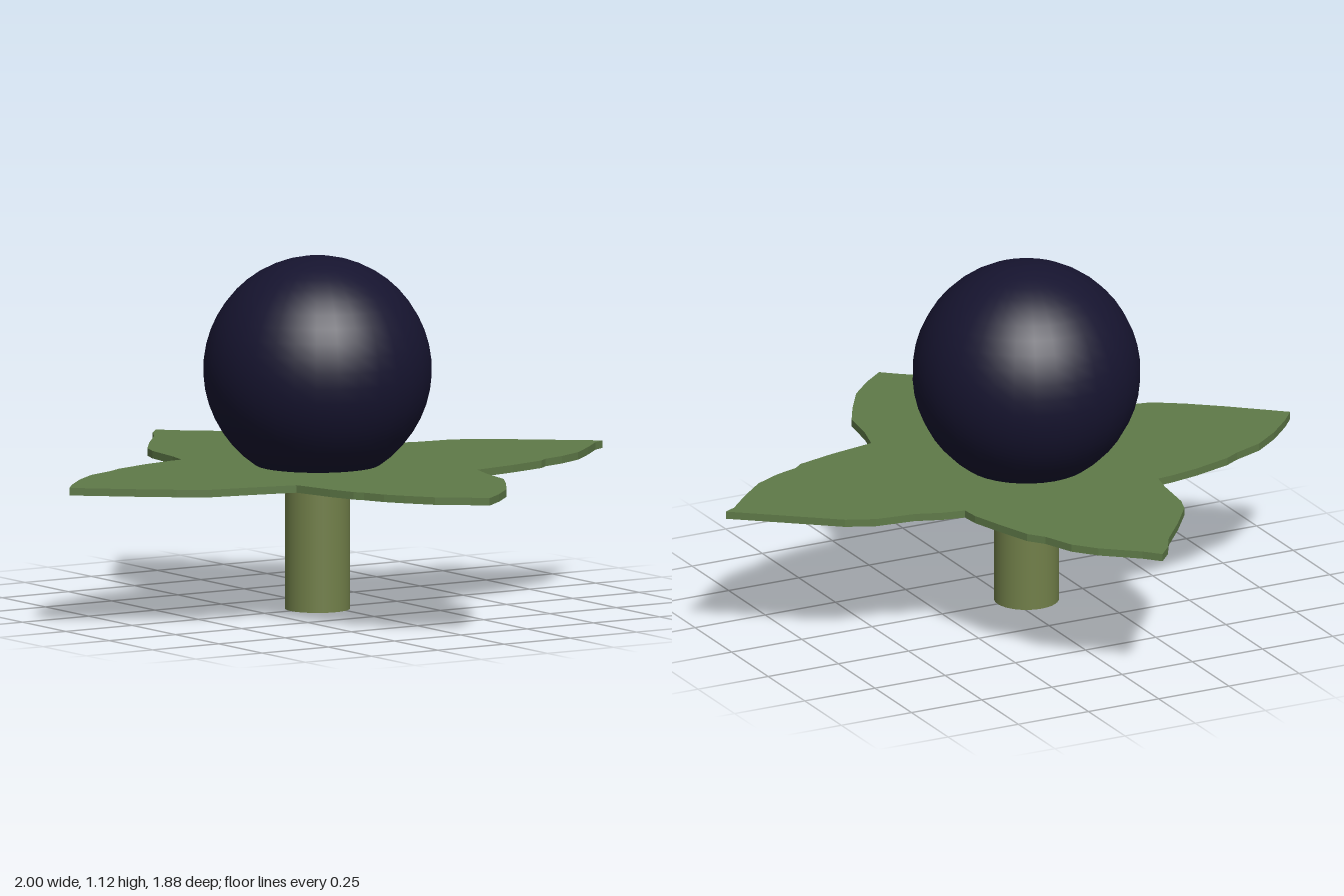
import * as THREE from 'three';

const CX = -0.05; // axis of the fruit and stem
const LEAF_Y = 0.436, LEAF_T = 0.024;

const paint = (color) => new THREE.MeshStandardMaterial({ color });

function add(group, name, geometry, material) {
  const mesh = new THREE.Mesh(geometry, material);
  mesh.name = name;
  group.add(mesh);
  return mesh;
}

// Outline of the four-pointed leaf as [x, z], one petal after another
const petals = [
  // back
  [[-0.35, -0.325], [-0.335, -0.4], [-0.32, -0.54], [-0.3, -0.6], [-0.22, -0.71], [-0.13, -0.82], [-0.09, -0.89],
    [-0.045, -0.94], [0, -0.89], [0.11, -0.8], [0.17, -0.73], [0.21, -0.63], [0.25, -0.58], [0.29, -0.46], [0.32, -0.36]],
  // left
  [[0.325, -0.3], [0.4, -0.285], [0.48, -0.255], [0.61, -0.24], [0.7, -0.2], [0.8, -0.12], [0.9, -0.04],
    [1, 0.04], [0.96, 0.06], [0.88, 0.14], [0.79, 0.22], [0.7, 0.265], [0.62, 0.29], [0.59, 0.315], [0.46, 0.35]],
  // front
  [[0.305, 0.38], [0.28, 0.47], [0.26, 0.6], [0.21, 0.69], [0.14, 0.8], [0.06, 0.88], [-0.015, 0.94],
    [-0.06, 0.9], [-0.15, 0.83], [-0.21, 0.75], [-0.25, 0.69], [-0.28, 0.62], [-0.3, 0.59], [-0.33, 0.5]],
  // right
  [[-0.365, 0.36], [-0.5, 0.33], [-0.65, 0.3], [-0.74, 0.24], [-0.84, 0.16], [-0.92, 0.09], [-1, 0.02],
    [-0.95, -0.04], [-0.87, -0.12], [-0.78, -0.19], [-0.68, -0.23], [-0.63, -0.26], [-0.5, -0.3], [-0.4, -0.32]],
];

export function createModel() {
  const group = new THREE.Group();

  // Flat leaf with a small square opening round the stem
  const toShape = ([x, z]) => new THREE.Vector2(x, -z);
  const shape = new THREE.Shape(petals.flat().map(toShape));
  const h = 0.098;
  shape.holes.push(new THREE.Path(
    [[-h, -h], [h, -h], [h, h], [-h, h]].map(([x, z]) => toShape([CX + x, z]))));
  const leafGeo = new THREE.ExtrudeGeometry(shape, { depth: LEAF_T, bevelEnabled: false });
  leafGeo.rotateX(-Math.PI / 2);
  add(group, 'leaf', leafGeo, paint(0x5f7a48)).position.y = LEAF_Y;

  // Ball fruit, cut flat where it rests in the leaf
  const r = 0.361, cy = 0.763, cut = LEAF_Y + 0.002;
  const start = Math.asin((cut - cy) / r);
  const profile = [new THREE.Vector2(0, cut)];
  for (let i = 0; i <= 20; i++) {
    const a = start + (Math.PI / 2 - start) * i / 20;
    profile.push(new THREE.Vector2(i === 20 ? 0 : r * Math.cos(a), cy + r * Math.sin(a)));
  }
  add(group, 'fruit', new THREE.LatheGeometry(profile, 32), paint(0x16142f)).position.x = CX;

  // Stem
  const stemH = LEAF_Y + 0.002;
  add(group, 'stem', new THREE.CylinderGeometry(0.103, 0.103, stemH, 32), paint(0x717f49))
    .position.set(CX, stemH / 2, 0);

  return group;
}
